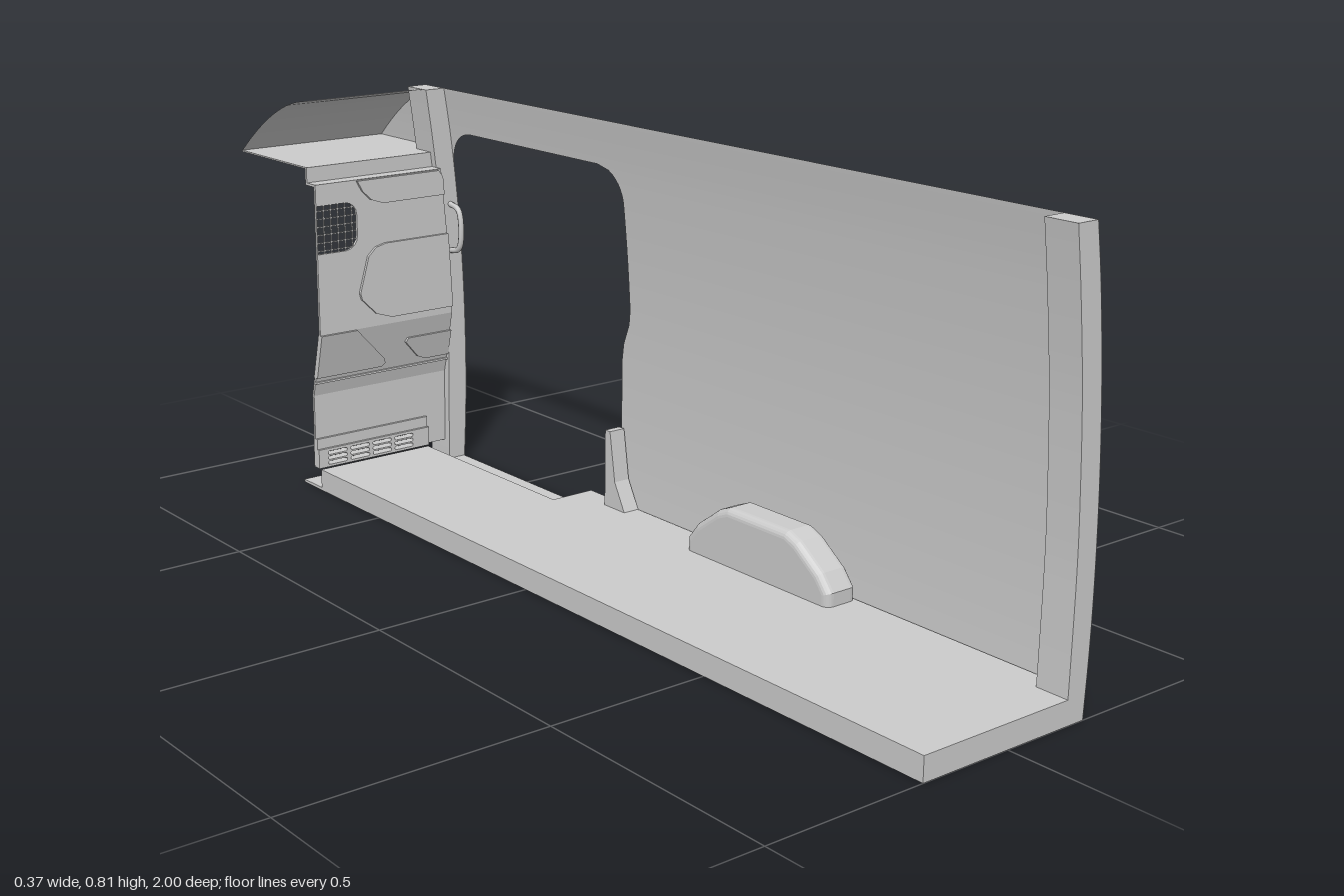
import * as THREE from 'three';

const mat = new THREE.MeshStandardMaterial({ color: 0xcccccc, side: THREE.DoubleSide });
const V2 = (a) => a.map(([x, y]) => new THREE.Vector2(x, y));
const LEFT = -0.185;

// piecewise linear lookup over [y, value] pairs
function lerpTable(t, y) {
  for (let i = 1; i < t.length; i++) {
    if (y <= t[i][0]) {
      const [a, b] = [t[i - 1], t[i]];
      return a[1] + (b[1] - a[1]) * (y - a[0]) / (b[0] - a[0]);
    }
  }
  return t[t.length - 1][1];
}

// outer skin and inner pillar curves, x as a function of height
const curve = (pts) => new THREE.SplineCurve(V2(pts)).getPoints(48).map((p) => [p.x, p.y]);
const outerTable = curve([[0, 0.175], [0.12, 0.181], [0.25, 0.183], [0.4, 0.18], [0.55, 0.171], [0.7, 0.156], [0.81, 0.14]]);
const innerTable = curve([[0, 0.135], [0.25, 0.139], [0.4, 0.135], [0.55, 0.126], [0.7, 0.11], [0.81, 0.095]]);
const outerX = (y) => lerpTable(outerTable, y);
const innerX = (y) => lerpTable(innerTable, y);

// rear visor, z as a function of height
const visorZ = (y) => -0.73 - 0.27 * Math.pow(Math.max(0, 0.81 - y) / 0.135, 0.6);

// door opening edges
const R = 0.07, TOP = 0.72;
const cornerInset = (y) => (y > TOP - R ? R - Math.sqrt(Math.max(0, R * R - (y - TOP + R) ** 2)) : 0);
const doorA = (y) => lerpTable([[0, -0.185], [0.33, -0.18], [0.37, -0.173], [0.41, -0.155], [0.44, -0.15], [0.81, -0.15]], y) - cornerInset(y);
const doorB = (y) => -0.72 + cornerInset(y);

// sheet spanned between two edge points per row
function sheet(y0, y1, n, edges) {
  const pos = [], idx = [];
  for (let i = 0; i <= n; i++) {
    const [a, b] = edges(y0 + (y1 - y0) * i / n);
    pos.push(...a, ...b);
    if (i) idx.push(2 * i - 2, 2 * i - 1, 2 * i, 2 * i - 1, 2 * i + 1, 2 * i);
  }
  const g = new THREE.BufferGeometry();
  g.setAttribute('position', new THREE.Float32BufferAttribute(pos, 3));
  g.setIndex(idx);
  g.computeVertexNormals();
  return g;
}

const shapeOf = (pts, holes = []) => {
  const s = new THREE.Shape(V2(pts));
  s.holes = holes.map((h) => new THREE.Path(V2(h)));
  return s;
};

// rectangle with rounded corners as a point list
function roundRect(x0, y0, x1, y1, rl, rr) {
  const pts = [];
  const corners = [[x1 - rr, y0 + rr, rr, -90], [x1 - rr, y1 - rr, rr, 0], [x0 + rl, y1 - rl, rl, 90], [x0 + rl, y0 + rl, rl, 180]];
  for (const [cx, cy, r, start] of corners) {
    for (let i = 0; i <= 4; i++) {
      const a = (start + i * 22.5) * Math.PI / 180;
      pts.push([cx + r * Math.cos(a), cy + r * Math.sin(a)]);
    }
  }
  return pts;
}

export function createModel() {
  const root = new THREE.Group();
  const add = (name, geo, parent = root) => {
    const m = new THREE.Mesh(geo, mat);
    m.name = name;
    parent.add(m);
    return m;
  };
  const box = (name, x0, x1, y0, y1, z0, z1, parent) =>
    add(name, new THREE.BoxGeometry(x1 - x0, y1 - y0, z1 - z0).translate((x0 + x1) / 2, (y0 + y1) / 2, (z0 + z1) / 2), parent);

  // floor: thin base plate and raised deck with a step cut out at the door
  box('basePlate', LEFT, 0.174, 0, 0.006, -0.79, 1);
  const deck = shapeOf([[LEFT, -1], [0.175, -1], [0.175, 0.27], [0.08, 0.27], [0.08, 0.72], [LEFT, 0.72]]);
  add('floorDeck', new THREE.ExtrudeGeometry(deck, { depth: 0.039, bevelEnabled: false }).rotateX(-Math.PI / 2).translate(0, 0.006, 0));

  // curved side skin around the door opening
  const skin = (name, y0, y1, n, za, zb) =>
    add(name, sheet(y0, y1, n, (y) => [[outerX(y), y, za(y)], [outerX(y), y, zb(y)]]));
  skin('sideWall', 0, TOP, 90, doorA, () => 1);
  skin('doorPillarSkin', 0, 0.675, 80, () => -0.79, doorB);
  skin('doorCornerSkin', 0.675, TOP, 12, visorZ, doorB);
  skin('wallAboveDoor', TOP, 0.81, 24, visorZ, () => 1);

  // end pillars filling between skin and inner curve
  const ys = Array.from({ length: 28 }, (_, i) => 0.81 * i / 27);
  const pillar = shapeOf([...ys.map((y) => [outerX(y) - 0.0005, y]), ...ys.slice().reverse().map((y) => [innerX(y), y])]);
  for (const [name, z, d] of [['frontPillar', 0.935, 0.065], ['doorPillar', -0.789, 0.068]]) {
    add(name, new THREE.ExtrudeGeometry(pillar, { depth: d, bevelEnabled: false }).translate(0, 0, z));
  }

  // rear visor with flat underside
  add('visorTop', sheet(0, 1, 28, (t) => {
    const y = 0.81 - 0.135 * Math.pow(t, 1.6);
    return [[LEFT, y, visorZ(y)], [outerX(y), y, visorZ(y)]];
  }));
  box('visorShelf', LEFT, 0.158, 0.674, 0.677, -0.998, -0.735);

  // bulkhead: stamped sheet in sections, z follows height
  const bulkhead = new THREE.Group();
  bulkhead.name = 'bulkhead';
  root.add(bulkhead);
  const wallZ = (y) => lerpTable([[0, -0.738], [0.2, -0.738], [0.335, -0.704], [0.646, -0.704]], y);
  const panel = (name, pts, holes, depth, lift) => {
    const g = new THREE.ExtrudeGeometry(shapeOf(pts, holes), { depth, bevelEnabled: false });
    const p = g.attributes.position;
    for (let i = 0; i < p.count; i++) p.setZ(i, p.getZ(i) - depth + lift + wallZ(p.getY(i)));
    g.computeVertexNormals();
    return add(name, g, bulkhead);
  };
  const windowHole = roundRect(LEFT + 0.001, 0.503, -0.09, 0.602, 0.002, 0.028);
  panel('upperPanel', [[LEFT, 0.335], [0.138, 0.335], [0.128, 0.52], [0.117, 0.645], [LEFT, 0.645]], [windowHole], 0.006, 0);
  panel('slopedPanel', [[LEFT, 0.2], [0.139, 0.2], [0.138, 0.335], [LEFT, 0.335]], [], 0.006, 0);
  box('topLedge', LEFT, 0.117, 0.641, 0.646, -0.738, -0.704, bulkhead);
  box('topStrip', LEFT, 0.117, 0.641, 0.676, -0.742, -0.736, bulkhead);
  box('beltLedge', LEFT, 0.138, 0.227, 0.231, -0.734, -0.725, bulkhead);

  // lower panel and vent housing share the same slots
  const slots = [];
  for (let g = 0; g < 4; g++) {
    for (let r = 0; r < 3; r++) {
      const x = -0.163 + g * 0.0545, y = 0.05 + r * 0.0108;
      slots.push(roundRect(x, y, x + 0.046, y + 0.0075, 0.0035, 0.0035));
    }
  }
  panel('lowerPanel', [[LEFT, 0.045], [0.137, 0.045], [0.139, 0.2], [LEFT, 0.2]], slots, 0.006, 0);
  panel('ventFace', [[LEFT, 0.045], [0.087, 0.045], [0.087, 0.085], [LEFT, 0.085]], slots, 0.02, 0.012);
  panel('ventUpper', [[LEFT, 0.085], [0.087, 0.085], [0.087, 0.107], [LEFT, 0.107]], [], 0.014, 0.006);

  // embossed areas
  const embossed = {
    topEmboss: [[-0.09, 0.644], [-0.078, 0.622], [-0.058, 0.602], [-0.03, 0.592], [0.121, 0.592], [0.118, 0.63], [0.108, 0.644]],
    middleEmboss: [[-0.015, 0.35], [0.137, 0.35], [0.129, 0.508], [-0.025, 0.508], [-0.05, 0.502], [-0.068, 0.485], [-0.09, 0.41], [-0.086, 0.396], [-0.052, 0.362]],
    leftEmboss: [[LEFT, 0.24], [-0.03, 0.24], [-0.021, 0.247], [-0.025, 0.258], [-0.1, 0.334], [LEFT, 0.334]],
    rightEmboss: [[0.08, 0.24], [0.138, 0.24], [0.138, 0.295], [0.03, 0.295], [0.025, 0.286], [0.06, 0.248]],
  };
  for (const [name, pts] of Object.entries(embossed)) panel(name, pts, [], 0.014, 0.006);

  // window mesh
  const wire = 0.0012;
  for (let i = 0; i < 6; i++) {
    const x = LEFT + 0.002 + i * 0.0165;
    const inset = i === 5 ? 0.006 : 0;
    box('meshBarUpright', x - wire, x + wire, 0.503 + inset, 0.602 - inset, -0.708, -0.706, bulkhead);
  }
  for (let i = 0; i < 6; i++) {
    const y = 0.509 + i * 0.0165;
    box('meshBarAcross', LEFT, -0.092, y - wire, y + wire, -0.708, -0.706, bulkhead);
  }

  // grab handle on the door pillar
  const grip = new THREE.CatmullRomCurve3([[0.465, -0.722], [0.472, -0.693], [0.49, -0.684], [0.54, -0.684], [0.558, -0.693], [0.565, -0.722]]
    .map(([y, z]) => new THREE.Vector3(0.15, y, z)));
  add('grabHandle', new THREE.TubeGeometry(grip, 24, 0.006, 8));

  // wheel arch and door post gusset, profiles drawn along z and extruded across x
  const across = (name, pts, depth, bevel, x) =>
    add(name, new THREE.ExtrudeGeometry(shapeOf(pts), { depth, bevelEnabled: bevel > 0, bevelSize: bevel, bevelThickness: bevel, bevelSegments: 5 })
      .rotateY(-Math.PI / 2).translate(x, 0, 0));
  across('wheelArch', [[0.125, 0.03], [0.475, 0.03], [0.475, 0.065], [0.455, 0.09], [0.4, 0.13], [0.375, 0.14], [0.225, 0.14], [0.2, 0.13], [0.145, 0.09], [0.125, 0.065]], 0.04, 0.015, 0.16);
  across('doorGusset', [[-0.182, 0.045], [-0.12, 0.045], [-0.15, 0.1], [-0.165, 0.2], [-0.18, 0.2]], 0.035, 0, 0.176);

  return root;
}
